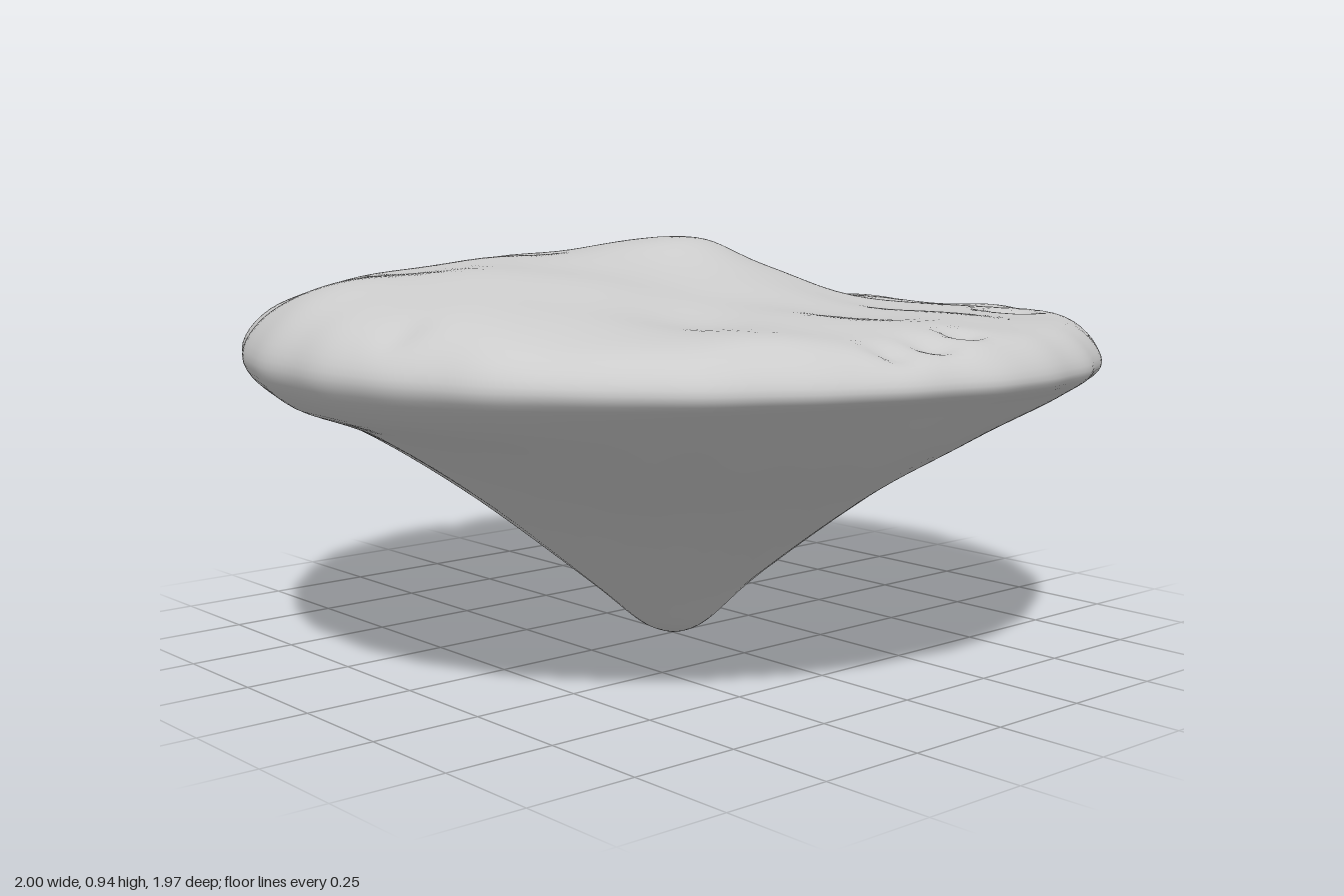
import * as THREE from 'three';
import { mergeVertices } from 'three/addons/utils/BufferGeometryUtils.js';

const SEG = 256, RINGS = 78;

// Smooth periodic lookup in a list of values spread evenly around the circle
function around(list, a) {
  const n = list.length, t = (a / (2 * Math.PI)) * n, i = Math.floor(t), f = t - i;
  const v = (k) => list[(i + k + n) % n];
  return v(0) + 0.5 * f * (v(1) - v(-1)
    + f * (2 * v(-1) - 5 * v(0) + 4 * v(1) - v(2) + f * (3 * (v(0) - v(1)) + v(2) - v(-1))));
}

// Values start at +x and turn towards +z
const RADIUS = [1, 1, 0.99, 0.975, 0.98, 0.975, 0.995, 1, 1, 0.99, 0.985, 0.995, 0.98, 0.985, 0.965, 1];
const UNDER_STEM = [0.17, 0.165, 0.16, 0.15, 0.145, 0.165, 0.185, 0.18];
const UNDER_INNER = [0.405, 0.385, 0.37, 0.365, 0.365, 0.385, 0.405, 0.405];
const UNDER_OUTER = [0.542, 0.53, 0.515, 0.52, 0.535, 0.54, 0.545, 0.545];
const LIP_BOTTOM = [0.575, 0.605, 0.63, 0.63, 0.61, 0.62, 0.62, 0.605];
const LIP_MID = [0.655, 0.67, 0.69, 0.7, 0.7, 0.7, 0.685, 0.67];
const LIP_TOP = [0.735, 0.755, 0.765, 0.775, 0.8, 0.795, 0.765, 0.745];
const CAP_OUTER = [0.76, 0.775, 0.785, 0.805, 0.865, 0.84, 0.805, 0.77];
const CAP_INNER = [0.79, 0.795, 0.805, 0.84, 0.9, 0.88, 0.85, 0.82];
const CAP_CROWN = [0.87, 0.86, 0.86, 0.88, 0.913, 0.912, 0.905, 0.89];
const MID = 6 / 12; // curve parameter at the outermost lip point

// Cross-section from the lower tip, round the lip, to the crown
function section(a) {
  const R = around(RADIUS, a), y = (list) => around(list, a);
  return new THREE.SplineCurve([
    [0, 0], [0.08, 0.033], [0.22, y(UNDER_STEM)], [0.5, y(UNDER_INNER)], [0.76 * R, y(UNDER_OUTER)],
    [0.93 * R, y(LIP_BOTTOM)], [R, y(LIP_MID)], [0.93 * R, y(LIP_TOP)],
    [0.77 * R, y(CAP_OUTER)], [0.5, y(CAP_INNER)], [0.25, y(CAP_CROWN)], [0.1, 0.932], [0, 0.943],
  ].map((p) => new THREE.Vector2(...p)));
}

// Hollows (and, with negative depth, mounds) on the cap: x, z, width, depth
const DENTS = [[0.6, 0.51, 0.05, 0.03], [-0.2, 0.88, 0.05, 0.025], [-0.08, 0.87, 0.05, 0.025],
  [0.04, 0.84, 0.035, 0.02], [-0.35, 0.42, 0.15, 0.02], [0.35, 0.4, 0.14, 0.012],
  [0.3, -0.6, 0.06, 0.015], [0.52, -0.58, 0.04, 0.015], [-0.9, 0.22, 0.05, 0.015],
  [0.25, 0.72, 0.14, -0.015], [-0.45, 0.7, 0.13, -0.01]];

function capSurface() {
  const pos = [], index = [];
  for (let j = 0; j < SEG; j++) {
    const a = (j / SEG) * 2 * Math.PI, curve = section(a);
    // Scalloped lobes with sharp creases on one stretch of the rim
    const near = Math.exp(-(((a - 4.93) / 0.55) ** 4));
    const lobe = near * (Math.abs(Math.sin((a - 4.37) * 10)) - 0.6);
    const ripple = 0.4 * Math.sin(17 * a + 1) + 0.4 * Math.sin(29 * a) + 0.4 * Math.sin(9 * a + 2);
    for (let i = 0; i <= RINGS; i++) {
      const t = i / RINGS, p = curve.getPoint(t);
      const r0 = Math.max(p.x, 0), rim = THREE.MathUtils.smoothstep(r0, 0.6, 0.95);
      const r = r0 * (1 + rim * (0.028 * lobe + 0.006 * ripple));
      const top = t > MID, drift = top ? (1 - r0) ** 2 : 0;
      const x = r * Math.cos(a) + 0.05 * drift, z = r * Math.sin(a) - 0.08 * drift;
      const away = Math.abs(t - MID) * 12;
      let y = p.y + rim * (top ? 1 : -1) * 0.026 * lobe * Math.min(1, away);
      if (top) {
        // Gentle undulations fading out at the lip and crown
        const fade = Math.min(1, r0 * 3) * Math.min(1, away * 0.8);
        y += fade * (0.007 * Math.sin(6 * x + 2 * z + 1) * Math.cos(9 * z - 2 * x)
          + 0.005 * Math.sin(15 * x + 4) * Math.sin(13 * z + 1));
        for (const [dx, dz, w, d] of DENTS) y -= fade * d * Math.exp(-((x - dx) ** 2 + (z - dz) ** 2) / (w * w));
      } else {
        // Faint ribs fanning out from the tip
        y += 0.003 * ripple * Math.min(1, r0 * 1.5) * (1 - rim);
      }
      pos.push(x, y, z);
    }
  }
  const at = (j, i) => (j % SEG) * (RINGS + 1) + i;
  for (let j = 0; j < SEG; j++) {
    for (let i = 0; i < RINGS; i++) {
      const p = at(j, i), q = at(j, i + 1), s = at(j + 1, i + 1), u = at(j + 1, i);
      if (i < RINGS - 1) index.push(p, q, s);
      else index.push(p, q, u);
      if (i > 0 && i < RINGS - 1) index.push(p, s, u);
    }
  }
  const geo = new THREE.BufferGeometry();
  geo.setAttribute('position', new THREE.Float32BufferAttribute(pos, 3));
  geo.setIndex(index);
  const merged = mergeVertices(geo, 1e-5);
  merged.computeVertexNormals();
  return merged;
}

export function createModel() {
  const group = new THREE.Group();
  const cap = new THREE.Mesh(capSurface(), new THREE.MeshStandardMaterial({ color: 0xcccccc }));
  cap.name = 'funnelCap';
  group.add(cap);
  return group;
}
